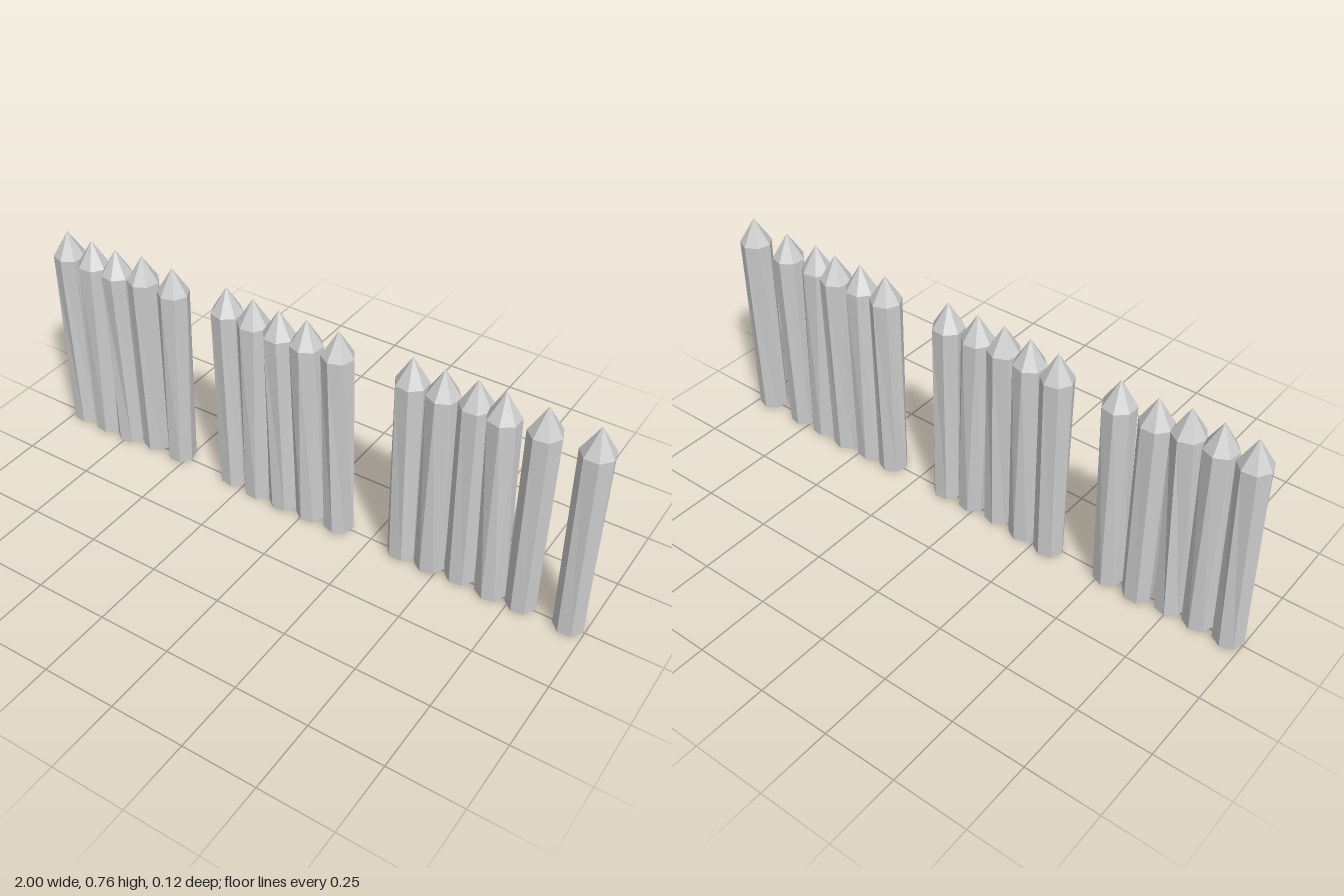
import * as THREE from 'three';

const SIDES = 7, SHOULDER = 0.675, TIP = 0.763;

// Each stake: tip x, foot x, z, yaw, twist of the foot against the head
const STAKES = [
  [-0.947, -0.952, 0.000, 0.1, 0.25], [-0.840, -0.845, 0.004, 0.5, -0.15],
  [-0.738, -0.743, 0.006, 0.3, 0.35], [-0.642, -0.637, -0.010, 0.0, 0.05],
  [-0.515, -0.527, -0.005, 0.7, -0.2],
  [-0.305, -0.300, -0.010, 0.2, 0.1], [-0.198, -0.193, 0.000, 0.6, -0.25],
  [-0.096, -0.086, 0.008, 0.4, 0.2], [0.002, 0.021, 0.005, 0.1, -0.3],
  [0.114, 0.127, 0.003, 0.8, 0.2],
  [0.364, 0.364, -0.003, 0.3, 0.15], [0.470, 0.467, 0.000, 0.0, -0.2],
  [0.572, 0.572, -0.008, 0.5, 0.1], [0.663, 0.683, 0.000, 0.2, -0.35],
  [0.790, 0.786, -0.003, 0.6, 0.05], [0.947, 0.947, 0.000, 0.45, 0.1],
];

// Sharpened log: foot ring, shoulder ring and point, leaning and twisting towards the foot
function stakeGeometry(lean, twist, footY) {
  const profile = [[0, footY], [0.05, footY], [0.054, SHOULDER], [0, TIP]]
    .map(([r, y]) => new THREE.Vector2(r, y));
  const geometry = new THREE.LatheGeometry(profile, SIDES).toNonIndexed();
  const p = geometry.attributes.position;
  const v = new THREE.Vector3(), up = new THREE.Vector3(0, 1, 0);
  for (let i = 0; i < p.count; i++) {
    v.fromBufferAttribute(p, i);
    const t = Math.max(0, 1 - v.y / SHOULDER);
    v.applyAxisAngle(up, twist[0] + twist[1] * t);
    v.x += lean * t;
    p.setXYZ(i, v.x, v.y, v.z);
  }
  geometry.computeVertexNormals();
  return geometry;
}

export function createModel() {
  const model = new THREE.Group();
  model.name = 'palisade';
  const material = new THREE.MeshStandardMaterial({ color: 0xcccccc, flatShading: true });

  // Three runs of stakes separated by gaps
  const runs = [[0, 5, 'rightRun'], [5, 10, 'middleRun'], [10, 16, 'leftRun']];
  for (const [from, to, name] of runs) {
    const run = new THREE.Group();
    run.name = name;
    for (let i = from; i < to; i++) {
      const [tipX, footX, z, yaw, twist] = STAKES[i];
      const footY = name === 'middleRun' && i < 7 ? 0 : 0.006;
      const stake = new THREE.Mesh(stakeGeometry(footX - tipX, [yaw, twist], footY), material);
      stake.name = 'stake' + (i + 1);
      stake.position.set(tipX, 0, z);
      run.add(stake);
    }
    model.add(run);
  }
  return model;
}
